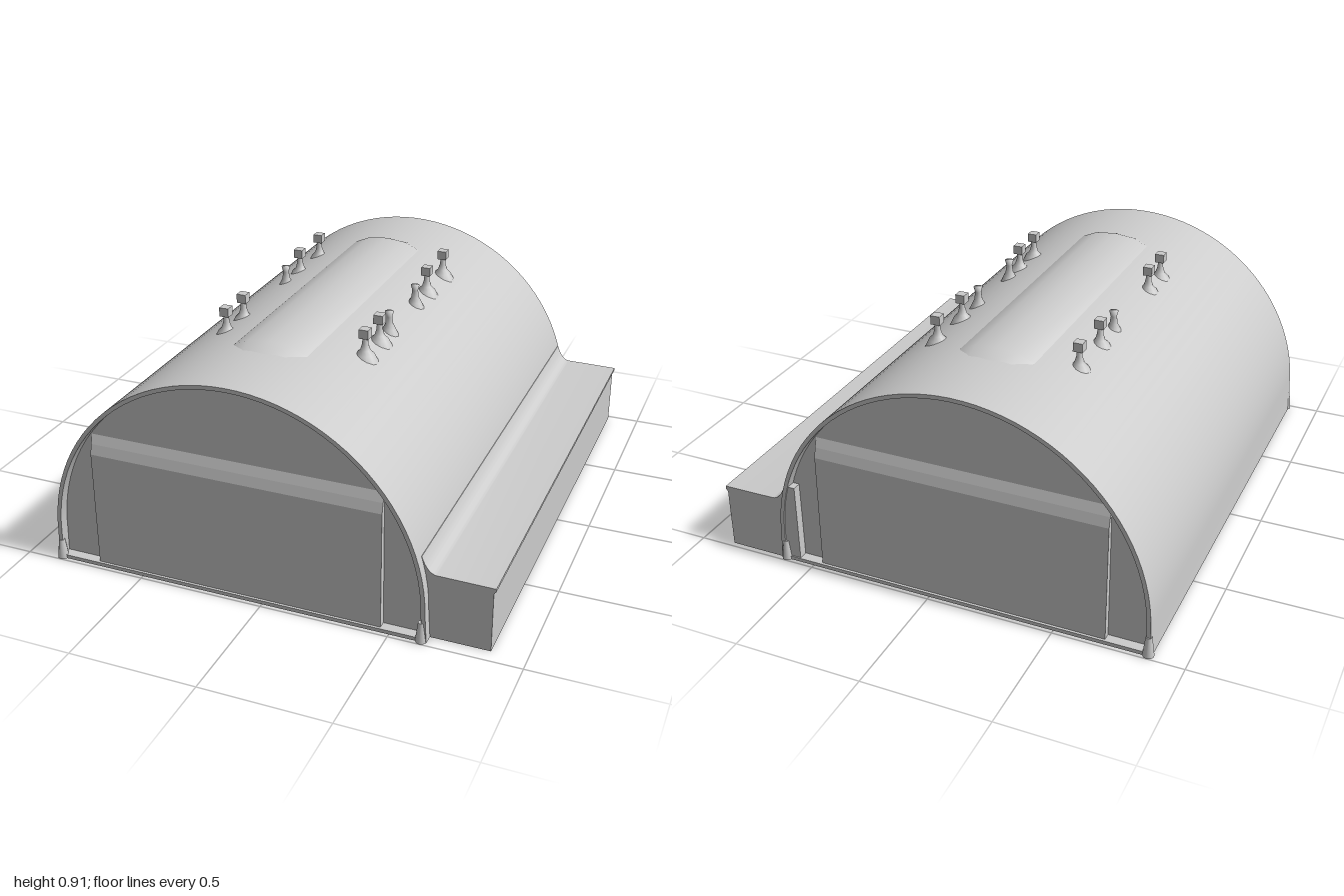
import * as THREE from 'three';
import { toCreasedNormals } from 'three/addons/utils/BufferGeometryUtils.js';

const CX = -0.115, CY = 0.115, R = 0.75;   // centre and radius of the vault

export function createModel() {
  const group = new THREE.Group();
  const material = new THREE.MeshStandardMaterial({ color: 0xcccccc, side: THREE.DoubleSide });
  const add = (name, geometry, x = 0, y = 0, z = 0) => {
    const mesh = new THREE.Mesh(geometry, material);
    mesh.name = name;
    mesh.position.set(x, y, z);
    group.add(mesh);
    return mesh;
  };
  const extrude = (shape, z0, z1) => {
    const g = new THREE.ExtrudeGeometry(shape, { depth: z1 - z0, bevelEnabled: false, curveSegments: 16 });
    g.translate(0, 0, z0);
    return toCreasedNormals(g, 0.5);
  };

  // Arch outline from the right foot over the top to the left foot
  const archPoints = (r, foot) => {
    const pts = [new THREE.Vector2(CX + foot, 0)];
    for (let i = 0; i <= 48; i++) {
      const a = Math.PI * i / 48;
      pts.push(new THREE.Vector2(CX + r * Math.cos(a), CY + r * Math.sin(a)));
    }
    pts.push(new THREE.Vector2(CX - foot, 0));
    return pts;
  };

  // Vaulted roof shell, open at both ends
  const outer = archPoints(R, 0.757), inner = archPoints(R - 0.016, 0.738).reverse();
  add('roofShell', extrude(new THREE.Shape([...outer, ...inner]), -0.985, 0.985));

  // Recessed end walls, one solid body inside the shell
  add('endWalls', extrude(new THREE.Shape(archPoints(R - 0.01, 0.745)), -0.945, 0.945));

  // Large doors with a sloping ledge along their top, front and back
  const doorProfile = new THREE.Shape([
    [0.9, 0], [0.975, 0], [0.968, 0.48], [0.958, 0.52], [0.944, 0.56], [0.9, 0.56],
  ].map(([z, y]) => new THREE.Vector2(z, y)));
  for (const side of [1, -1]) {
    const g = new THREE.ExtrudeGeometry(doorProfile, { depth: 1.16, bevelEnabled: false });
    g.translate(0, 0, -0.58);
    g.rotateY(-side * Math.PI / 2);
    add(side > 0 ? 'frontDoor' : 'backDoor', g, CX).name = side > 0 ? 'frontDoor' : 'backDoor';
  }

  // Thin floor slab and corner feet
  add('floorSlab', new THREE.BoxGeometry(1.51, 0.015, 1.97), CX, 0.0075, 0);
  for (const x of [-0.858, 0.62]) for (const z of [0.98, -0.98]) {
    const foot = new THREE.CylinderGeometry(0.012, 0.022, 0.08, 10);
    add('cornerFoot', foot, x, 0.04, z * 0.998);
  }

  // Low side annex, its roof curving up into the vault
  const annex = new THREE.Shape();
  annex.moveTo(0.56, 0);
  annex.lineTo(0.868, 0);
  annex.lineTo(0.868, 0.24);
  annex.lineTo(0.876, 0.25);
  annex.lineTo(0.876, 0.262);
  annex.lineTo(0.66, 0.264);
  annex.quadraticCurveTo(0.625, 0.268, 0.605, 0.33);
  annex.lineTo(0.56, 0.33);
  add('sideAnnex', extrude(annex, -0.98, 0.945));

  // Raised ridge cap: cross-sections that sink into the roof at each end
  const section = [[-0.31, 0.815], [-0.26, 0.853], [-0.2, 0.88], [-0.115, 0.889],
    [-0.03, 0.88], [0.03, 0.853], [0.08, 0.815]];
  const stations = [[-0.69, 0.03], [-0.61, 0], [0.61, 0], [0.69, 0.03]];
  const positions = [], index = [], n = section.length;
  for (const [z, drop] of stations) for (const [x, y] of section) positions.push(x, y - drop, z);
  for (let s = 0; s < stations.length - 1; s++) for (let i = 0; i < n - 1; i++) {
    const a = s * n + i, b = a + n;
    index.push(a, b, a + 1, b, b + 1, a + 1);
  }
  const ridge = new THREE.BufferGeometry();
  ridge.setAttribute('position', new THREE.Float32BufferAttribute(positions, 3));
  ridge.setIndex(index);
  ridge.computeVertexNormals();
  add('ridgeCap', toCreasedNormals(ridge, 0.5));

  // Roof vents: a flared stem under a small square cap
  const lathe = (pts) => new THREE.LatheGeometry(pts.map(([r, y]) => new THREE.Vector2(r, y)), 12);
  const stem = lathe([[0.055, -0.03], [0.035, 0.01], [0.02, 0.025], [0.012, 0.05], [0.01, 0.085]]);
  const stub = lathe([[0.045, -0.03], [0.026, 0.01], [0.016, 0.03], [0.012, 0.06], [0.018, 0.082], [0, 0.086]]);
  const cap = new THREE.BoxGeometry(0.038, 0.036, 0.038);
  for (const x of [-0.39, 0.187]) {
    for (const z of [-0.49, -0.28, 0.27, 0.42]) {
      add('ventStem', stem, x, 0.8, z);
      add('ventCap', cap, x, 0.893, z);
    }
    for (const z of x > 0 ? [-0.135, 0.165] : [-0.135]) add('shortVent', stub, x, 0.8, z);
  }
  return group;
}
